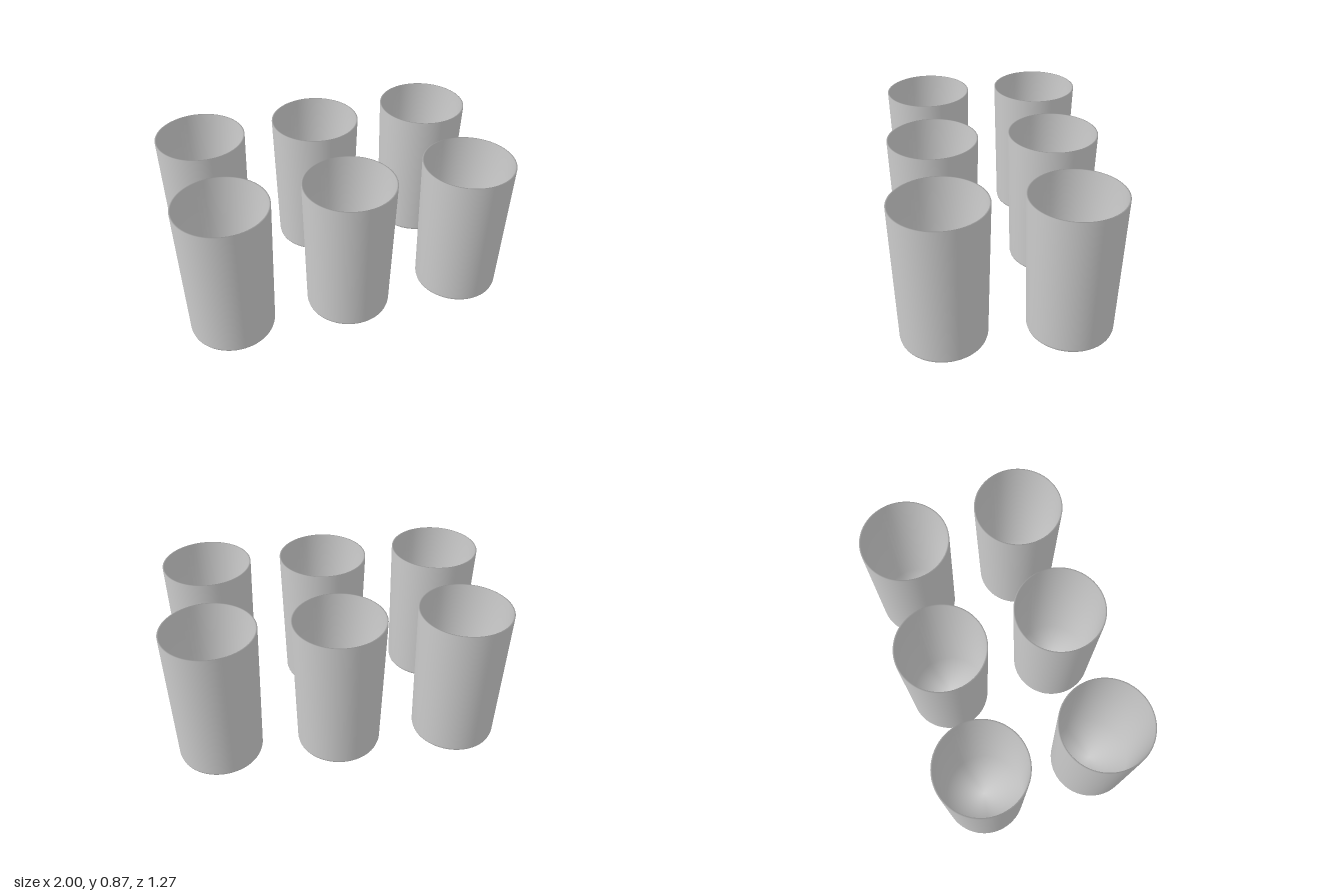
import * as THREE from 'three';
import { mergeVertices } from 'three/addons/utils/BufferGeometryUtils.js';

// Thin-walled tumbler: closed profile from the underside centre, up the outside and down the inside
function cupGeometry() {
  const profile = [
    [0, 0], [0.243, 0], [0.249, 0.006], [0.253, 0.02],
    [0.272, 0.873], [0.263, 0.873],
    [0.244, 0.02], [0, 0.02],
  ].map(([r, y]) => new THREE.Vector2(r, y));
  const lathe = new THREE.LatheGeometry(profile, 64);
  // Weld seam and centres so the shading runs smoothly over the whole cup
  lathe.deleteAttribute('normal');
  lathe.deleteAttribute('uv');
  const geometry = mergeVertices(lathe, 1e-5);
  geometry.computeVertexNormals();
  return geometry;
}

export function createModel() {
  const group = new THREE.Group();
  group.name = 'cupSet';
  const material = new THREE.MeshStandardMaterial({ color: 0xcccccc });
  const geometry = cupGeometry();
  const columns = { Right: -0.728, Middle: 0, Left: 0.728 };
  const rows = { front: 0.364, back: -0.364 };

  // Two rows of three identical cups
  for (const [row, z] of Object.entries(rows)) {
    for (const [column, x] of Object.entries(columns)) {
      const cup = new THREE.Mesh(geometry, material);
      cup.name = `${row}${column}Cup`;
      cup.position.set(x, 0, z);
      group.add(cup);
    }
  }
  return group;
}
